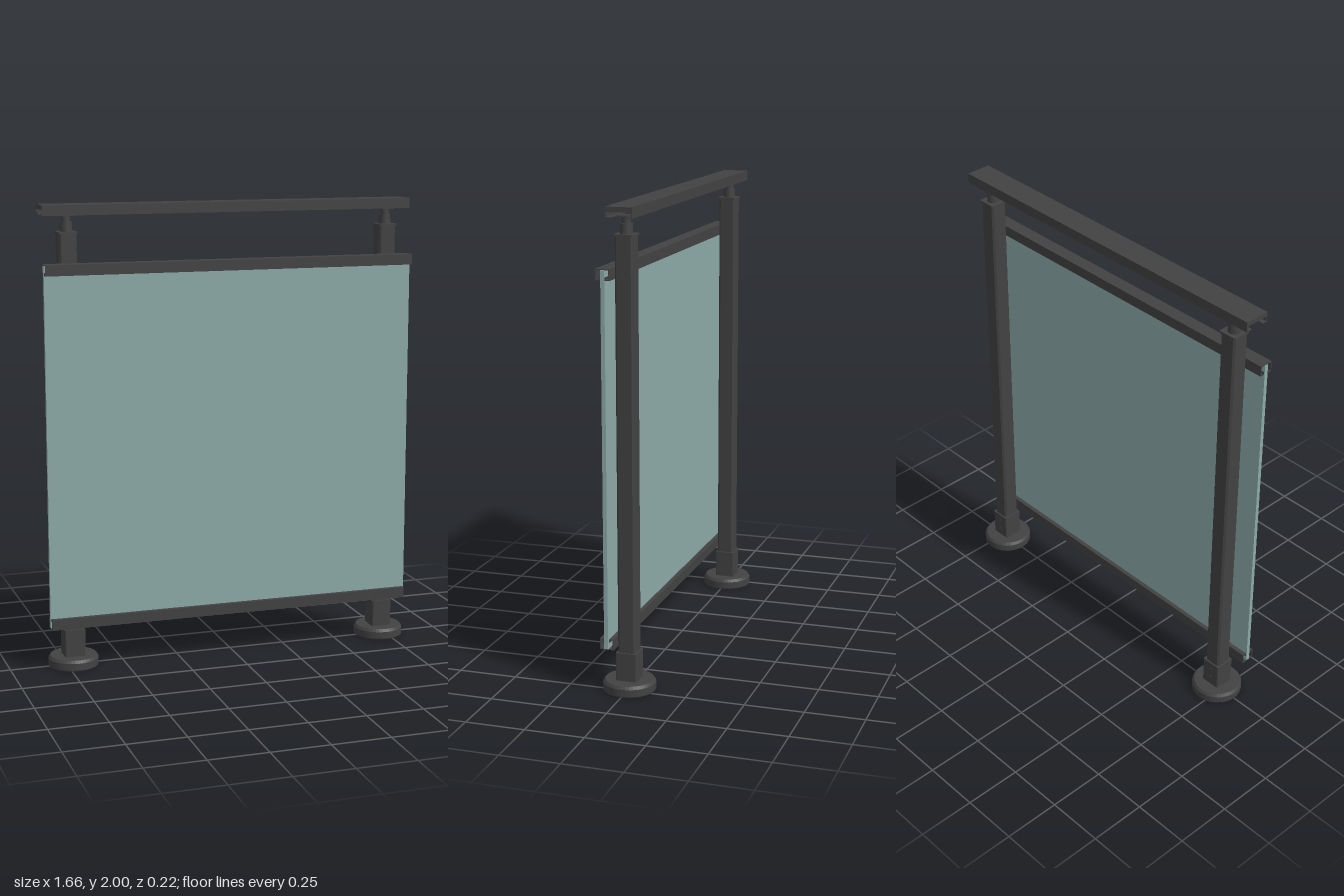
import * as THREE from 'three';

const metal = new THREE.MeshStandardMaterial({ color: 0x424242, side: THREE.DoubleSide });
const glass = new THREE.MeshStandardMaterial({ color: 0x8caaa8 });

function add(parent, name, geometry, x = 0, y = 0, z = 0, material = metal) {
  const mesh = new THREE.Mesh(geometry, material);
  mesh.name = name;
  mesh.position.set(x, y, z);
  parent.add(mesh);
  return mesh;
}

const shapeOf = (points) => new THREE.Shape(points.map(([x, y]) => new THREE.Vector2(x, y)));

// Square bar with clipped corners, standing from y = 0
function squareBar(width, height, clip) {
  const h = width / 2, c = h - clip;
  const shape = shapeOf([[h, -c], [h, c], [c, h], [-c, h], [-h, c], [-h, -c], [-c, -h], [c, -h]]);
  return new THREE.ExtrudeGeometry(shape, { depth: height, bevelEnabled: false }).rotateX(-Math.PI / 2);
}

// Extrude a (z, y) section along x
function rail(points, x0, x1) {
  const shape = shapeOf(points.map(([z, y]) => [-z, y]));
  return new THREE.ExtrudeGeometry(shape, { depth: x1 - x0, bevelEnabled: false })
    .rotateY(Math.PI / 2).translate(x0, 0, 0);
}

// Thin lipped channel gripping one edge of the pane; dir points from web to mouth
function clampSection(y, dir) {
  const t = 0.004, w = 0.03, h = 0.046, lip = 0.011;
  const half = [[w, 0], [w, h], [lip, h], [lip, h - 0.014], [lip + t, h - 0.014],
    [lip + t, h - t], [w - t, h - t], [w - t, t]];
  const mirrored = half.map(([z, v]) => [-z, v]).reverse();
  return [...half, ...mirrored].map(([z, v]) => [z + 0.069, y + v * dir]);
}

function createPost(x) {
  const post = new THREE.Group();
  post.name = 'post';
  post.position.x = x;

  // Round foot with rounded rim and hollow underside
  const foot = [[0, 0.03], [0.03, 0.03], [0.03, 0.004], [0.045, 0.004], [0.045, 0.025],
    [0.09, 0.025], [0.09, 0], [0.108, 0], [0.11, 0.004], [0.11, 0.034], [0.101, 0.046], [0, 0.046]];
  add(post, 'footCover', new THREE.LatheGeometry(foot.map(([r, y]) => new THREE.Vector2(r, y)), 40))
    .geometry = new THREE.LatheGeometry(foot.map(([r, y]) => new THREE.Vector2(r, y)), 40).toNonIndexed();
  post.children[0].geometry.computeVertexNormals();

  // Anchor bolts under the foot
  for (let i = 0; i < 4; i++) {
    const a = Math.PI / 4 + i * Math.PI / 2;
    add(post, 'anchorBolt', new THREE.CylinderGeometry(0.011, 0.011, 0.02, 12),
      0.067 * Math.cos(a), 0.016, 0.067 * Math.sin(a));
  }

  add(post, 'baseSleeve', squareBar(0.09, 0.12, 0.004), 0, 0.046);
  add(post, 'upright', squareBar(0.076, 1.83, 0.008), 0, 0.05);
  add(post, 'topCap', squareBar(0.084, 0.009, 0.006), 0, 1.878);

  // Set screws on the sleeve
  for (const y of [0.085, 0.13]) {
    for (const side of [-1, 1]) {
      add(post, 'setScrew', new THREE.CylinderGeometry(0.006, 0.006, 0.004, 12).rotateX(Math.PI / 2),
        0, y, side * 0.045);
    }
  }

  // Handrail support
  add(post, 'supportCollar', new THREE.CylinderGeometry(0.025, 0.027, 0.042, 24), 0, 1.908);
  add(post, 'supportStem', new THREE.CylinderGeometry(0.019, 0.019, 0.035, 24), 0, 1.942);
  add(post, 'supportSaddle', new THREE.BoxGeometry(0.05, 0.008, 0.07), 0, 1.956);
  return post;
}

export function createModel() {
  const model = new THREE.Group();
  model.name = 'glassBalustrade';

  for (const side of [-1, 1]) model.add(createPost(side * 0.72));

  // Handrail: inverted channel with inward lips
  const handrail = [[-0.056, 2], [0.056, 2], [0.056, 1.956], [0.03, 1.956], [0.03, 1.961],
    [0.051, 1.961], [0.051, 1.98], [-0.051, 1.98], [-0.051, 1.961], [-0.03, 1.961],
    [-0.03, 1.956], [-0.056, 1.956]];
  add(model, 'handrail', rail(handrail, -0.833, 0.815));

  // Clamp rails and pane on the front of the posts
  add(model, 'lowerClampRail', rail(clampSection(0.19, 1), -0.833, 0.803));
  add(model, 'upperClampRail', rail(clampSection(1.757, -1), -0.833, 0.813));
  add(model, 'glassPane', new THREE.BoxGeometry(1.645, 1.557, 0.017), -0.012, 0.9735, 0.069, glass);

  return model;
}
